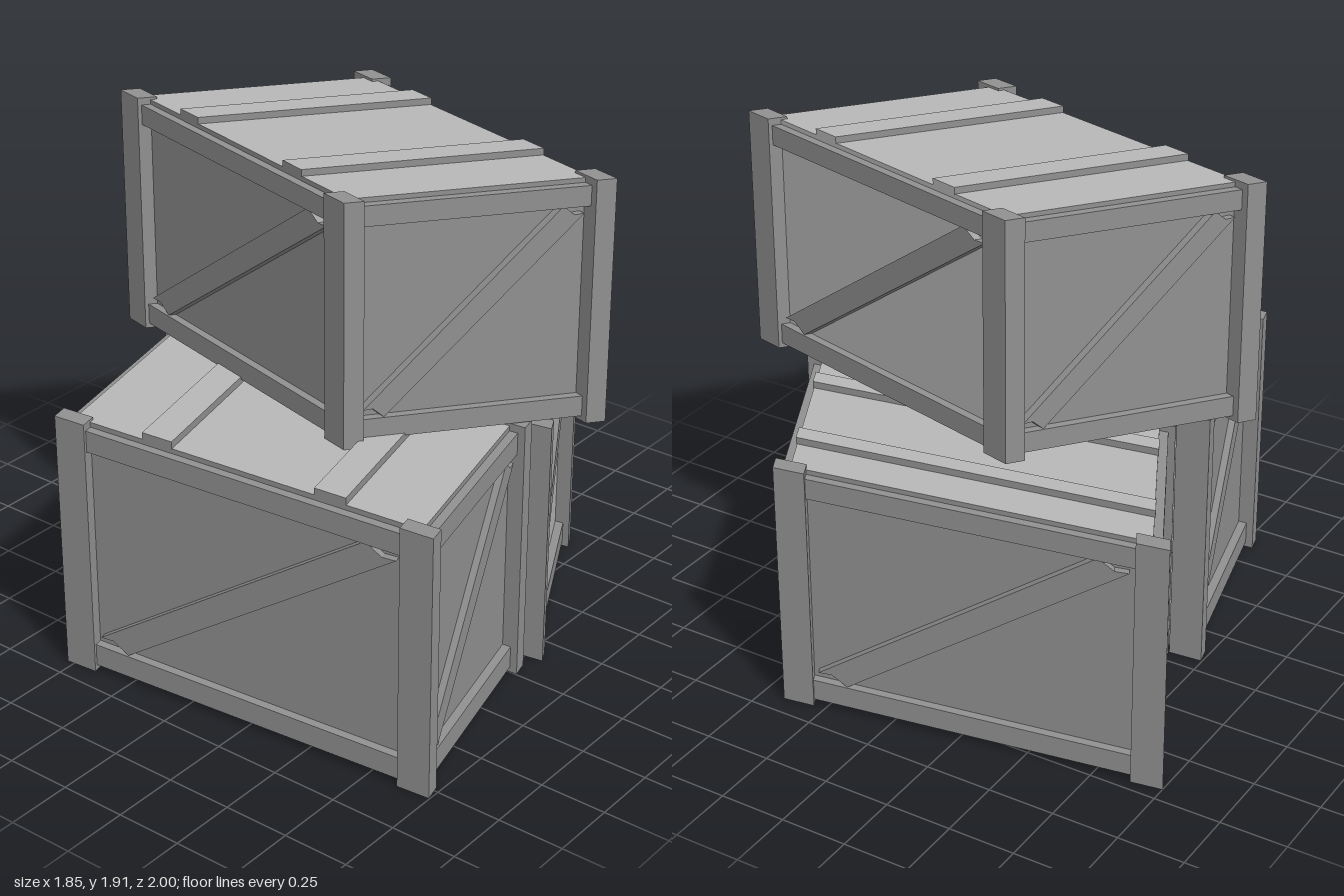
import * as THREE from 'three';

// both sides are drawn because the crates are open underneath
const frameMat = new THREE.MeshStandardMaterial({ color: 0x919191, side: THREE.DoubleSide });
frameMat.name = 'frame grey';
const panelMat = new THREE.MeshStandardMaterial({ color: 0xb8b8b8, side: THREE.DoubleSide });
panelMat.name = 'panel light grey';

// slat faces in order +x -x +y -y +z -z: one end and the top are light
const slatMats = [panelMat, frameMat, panelMat, frameMat, frameMat, frameMat];

const POST_SHORT = 0.081; // post width along the crate's short floor axis
const POST_LONG = 0.09;   // post width along its long floor axis
const RAIL_OUT = 0.525;   // outer plane of the rails
const BODY_LOW = 0.003;   // lower edge of the walls
const BODY_TOP = 0.99;    // height of the lid

// box from size and centre
function box(w, h, d, x, y, z) {
  return new THREE.BoxGeometry(w, h, d).translate(x, y, z);
}

// diagonal board with notched ends, drawn in the plane of one crate side
function braceGeometry(from, to) {
  const half = [[-0.355, 0.105], [0.44, 0.86], [0.40, 0.857]];
  const pts = half.concat(half.map(([x, y]) => [-x, 1 - y]));
  const shape = new THREE.Shape(pts.map(([x, y]) => new THREE.Vector2(x, y)));
  return new THREE.ExtrudeGeometry(shape, { depth: to - from, bevelEnabled: false }).translate(0, 0, from);
}

// A crate is made in a unit frame, then set onto its two floor axes.
// a: floor axis along the lid slats, b: the other floor axis, both [x, z]
function createCrate(name, a, b, height, centre) {
  const crate = new THREE.Group();
  crate.name = name;
  const place = new THREE.Matrix4().set(
    a[0], 0, b[0], centre[0],
    0, height, 0, centre[1],
    a[1], 0, b[1], centre[2],
    0, 0, 0, 1
  );
  const add = (part, geometry, material) => {
    const mesh = new THREE.Mesh(geometry.applyMatrix4(place), material);
    mesh.name = part;
    crate.add(mesh);
  };

  // rail thickness is the same in world units on every side
  const lenA = Math.hypot(...a);
  const lenB = Math.hypot(...b);
  const tA = 0.033 / lenA;
  const tB = 0.033 / lenB;
  const halfA = RAIL_OUT - tA;
  const halfB = RAIL_OUT - tB;

  // lid and its slats
  add('lid', new THREE.PlaneGeometry(halfA * 2, halfB * 2).rotateX(-Math.PI / 2).translate(0, BODY_TOP, 0), panelMat);
  for (const s of [-1, 1]) {
    add('lidSlat', box(halfA * 2 + 0.005, 0.03, 0.088, 0, 1.002, s * 0.25), slatMats);
  }

  // corner posts
  const [postA, postB] = lenA > lenB ? [POST_LONG, POST_SHORT] : [POST_SHORT, POST_LONG];
  for (const x of [-0.5, 0.5]) {
    for (const z of [-0.5, 0.5]) add('cornerPost', box(postA, 1, postB, x, 0.5, z), frameMat);
  }

  // wall, rails and brace on each of the four sides
  for (let i = 0; i < 4; i++) {
    const [t, halfWidth, halfDepth] = i % 2 ? [tA, halfB, halfA] : [tB, halfA, halfB];
    const turn = i * Math.PI / 2;
    const z = RAIL_OUT - t / 2;
    const wall = new THREE.PlaneGeometry(halfWidth * 2, BODY_TOP - BODY_LOW);
    wall.translate(0, (BODY_TOP + BODY_LOW) / 2, halfDepth).rotateY(turn);
    add('wall', wall, i === 1 ? panelMat : frameMat);
    add('lowerRail', box(0.92, 0.085, t, 0, 0.0635, z).rotateY(turn), frameMat);
    add('upperRail', box(0.92, 0.082, t, 0, 0.93, z).rotateY(turn), frameMat);
    add('brace', braceGeometry(halfDepth - 0.002, RAIL_OUT - t * 0.2).rotateY(turn), frameMat);
  }
  return crate;
}

export function createModel() {
  const model = new THREE.Group();
  model.name = 'crateStack';
  model.add(
    createCrate('lowerRightCrate', [0.80, -0.20], [0.12, 1.40], 1.0, [-0.43, 0, 0.126]),
    createCrate('lowerLeftCrate', [0.215, 1.295], [-0.735, 0.38], 0.95, [0.412, 0, -0.09]),
    createCrate('topCrate', [0.667, 0.535], [-0.295, 1.16], 0.902, [0.03, 0.99, 0.053])
  );
  return model;
}
